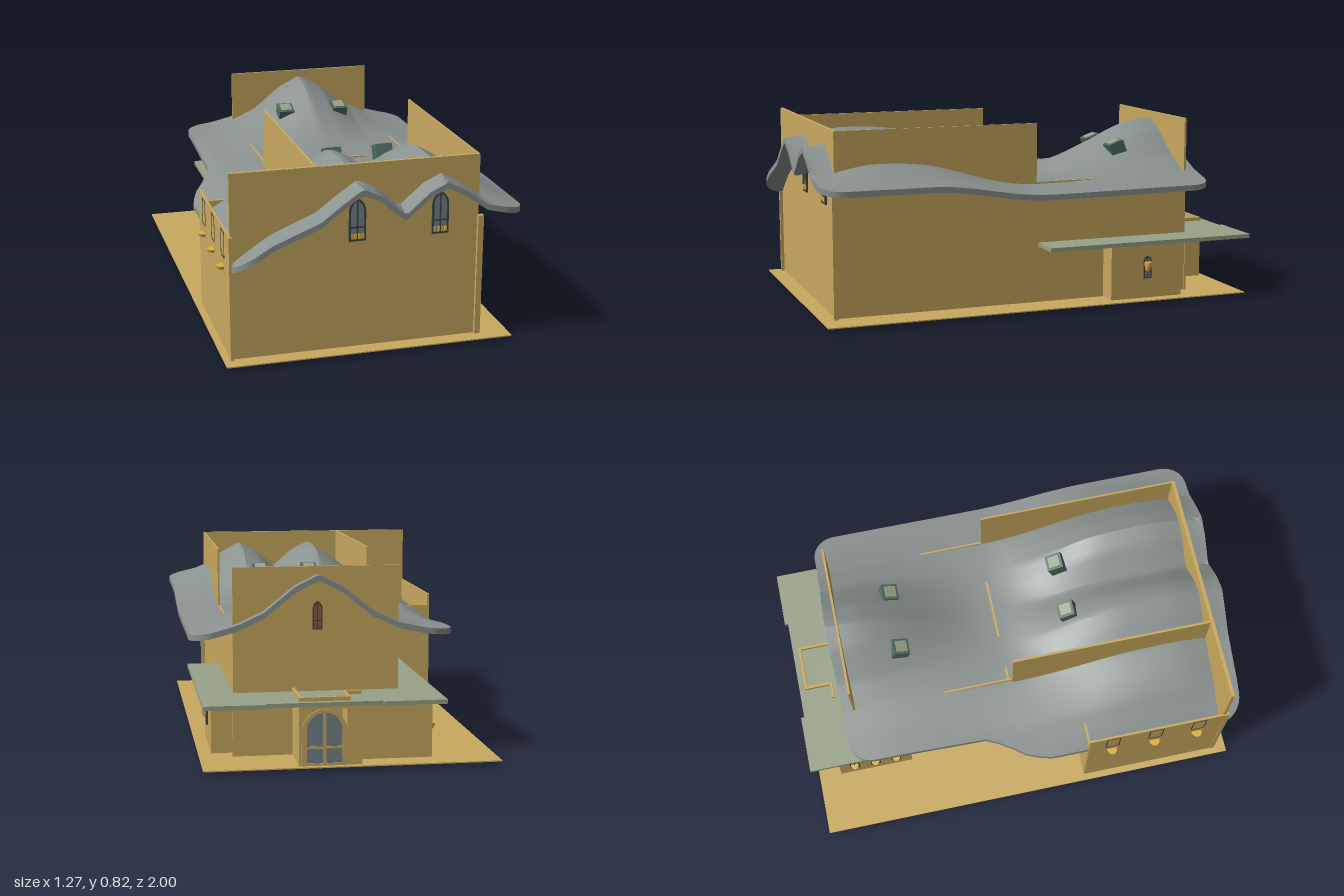
import * as THREE from 'three';
import { toCreasedNormals } from 'three/addons/utils/BufferGeometryUtils.js';

const mat = (color) => new THREE.MeshStandardMaterial({ color, side: THREE.DoubleSide });
const WALL = mat(0xc9a95f), ROOF = mat(0x8a9290), GREEN = mat(0x98a288);
const DARK = mat(0x3c4444), PANE = mat(0x4c6c60), GLASS = mat(0x75858a), LAMP = mat(0xe0b040);

// Piecewise-linear profile lookup and smooth step
function interp(p, x) {
  if (x <= p[0][0]) return p[0][1];
  for (let i = 1; i < p.length; i++) {
    if (x <= p[i][0]) {
      const t = (x - p[i - 1][0]) / (p[i][0] - p[i - 1][0]);
      return p[i - 1][1] + t * (p[i][1] - p[i - 1][1]);
    }
  }
  return p[p.length - 1][1];
}
const smooth = (a, b, v) => THREE.MathUtils.smoothstep(v, a, b);

// Roof profiles: twin gable in front, low saddle, single gable at the back
const FRONT = [[-0.61, 0.43], [-0.55, 0.475], [-0.45, 0.535], [-0.35, 0.575], [-0.25, 0.615], [-0.15, 0.69],
  [-0.075, 0.74], [0, 0.705], [0.105, 0.615], [0.21, 0.705], [0.285, 0.74], [0.36, 0.70], [0.46, 0.63], [0.64, 0.59]];
const MIDDLE = [[-0.61, 0.43], [-0.45, 0.515], [-0.25, 0.55], [0.45, 0.552], [0.64, 0.53]];
const BACK = [[-0.5, 0.54], [-0.35, 0.555], [-0.24, 0.58], [-0.13, 0.63], [0, 0.735], [0.1, 0.785],
  [0.2, 0.735], [0.33, 0.63], [0.44, 0.58], [0.55, 0.55], [0.64, 0.535]];

function roofY(x, z) {
  const mid = interp(MIDDLE, x);
  if (z < 0) return mid + (interp(BACK, x) - mid) * smooth(0.05, 0.7, -z);
  const inner = smooth(-0.6, -0.35, x) * (1 - smooth(0.45, 0.64, x));
  const lift = 0.04 * inner * smooth(0.2, 0.68, z) * (1 - smooth(0.72, 1, z));
  return mid + (interp(FRONT, x) - mid) * smooth(0, 0.52, z) + lift;
}

// Swept roof: closed cross-sections from back to front, rounded at the corners
function roofGeometry() {
  const z0 = -0.79, z1 = 0.995, rows = 48, n = 64, r = 0.1, thick = 0.025;
  const pos = [], idx = [], loop = 2 * (n + 1);
  const LEFT = [[-0.18, -0.48], [-0.1, -0.515], [0, -0.58], [0.1, -0.605]];
  for (let i = 0; i <= rows; i++) {
    const z = (z0 + z1) / 2 - (z1 - z0) / 2 * Math.cos(Math.PI * i / rows);
    const d = THREE.MathUtils.clamp(r - Math.min(z - z0, z1 - z), 0, r);
    const inset = r - Math.sqrt(r * r - d * d);
    const xl = interp(LEFT, z) + inset, xr = 0.635 - inset;
    for (let j = 0; j < loop; j++) {
      const top = j <= n, k = top ? j : loop - 1 - j;
      const x = xl + (xr - xl) * k / n;
      pos.push(x, roofY(x, z) - (top ? 0 : thick), z);
    }
  }
  for (let i = 0; i < rows; i++) {
    for (let j = 0; j < loop; j++) {
      const a = i * loop + j, b = i * loop + (j + 1) % loop;
      idx.push(a, a + loop, b, b, a + loop, b + loop);
    }
  }
  for (const i of [0, rows]) {
    for (let j = 0; j < n; j++) {
      const t = i * loop + j, b = i * loop + loop - 1 - j;
      if (i) idx.push(b, b - 1, t + 1, b, t + 1, t);
      else idx.push(b, t + 1, b - 1, b, t, t + 1);
    }
  }
  const g = new THREE.BufferGeometry();
  g.setAttribute('position', new THREE.Float32BufferAttribute(pos, 3));
  g.setIndex(idx);
  return toCreasedNormals(g, 0.5);
}

// Pointed or round arch outline, base at y = 0
function archPath(Type, w, h, pointed) {
  const s = new Type(), k = w / 2, spring = pointed ? h - w * 0.8 : h - k;
  s.moveTo(-k, 0).lineTo(k, 0).lineTo(k, spring);
  if (pointed) {
    s.quadraticCurveTo(k, h - w * 0.3, 0, h).quadraticCurveTo(-k, h - w * 0.3, -k, spring);
  } else s.absarc(0, spring, k, 0, Math.PI, false);
  s.lineTo(-k, 0);
  return s;
}

export function createModel() {
  const root = new THREE.Group();
  const add = (name, geo, material, parent = root) => {
    const m = new THREE.Mesh(geo, material);
    m.name = name;
    parent.add(m);
    return m;
  };
  // Box given by its limits
  const box = (name, material, x0, x1, y0, y1, z0, z1, parent = root) => {
    const m = add(name, new THREE.BoxGeometry(x1 - x0, y1 - y0, z1 - z0), material, parent);
    m.position.set((x0 + x1) / 2, (y0 + y1) / 2, (z0 + z1) / 2);
    return m;
  };

  // Ground plate, floors beneath it and entry step
  box('ground', WALL, -0.64, 0.6, 0.015, 0.02, -0.98, 0.97);
  for (const [x0, x1, z0, z1] of [[-0.25, 0.45, -0.73, 0.89], [-0.6, -0.25, 0.28, 0.89], [-0.36, -0.25, -0.86, -0.53],
    [-0.25, 0.2, -0.86, -0.73], [0.45, 0.54, -0.68, -0.34]]) {
    box('floor', GREEN, x0, x1, 0.012, 0.0155, z0, z1);
  }
  box('step', DARK, 0, 0.19, 0, 0.013, -0.3, -0.2);

  // Walls: x0, x1, top, z0, z1
  const walls = [
    ['frontWall', -0.605, 0.455, 0.82, 0.885, 0.9],
    ['rightWall', 0.447, 0.455, 0.82, -0.01, 0.89],
    ['innerWall', -0.253, -0.243, 0.82, -0.01, 0.89],
    ['rearRightWall', 0.447, 0.455, 0.56, -0.735, -0.01],
    ['rearLeftWall', -0.245, -0.237, 0.562, -0.735, -0.01],
    ['rearGableWall', -0.245, 0.455, 0.815, -0.742, -0.732],
    ['crossWall', -0.03, 0.25, 0.558, -0.032, -0.022],
    ['crossWallEnd', -0.245, -0.18, 0.558, -0.032, -0.022],
    ['wingSideWall', -0.61, -0.6, 0.555, 0.27, 0.9],
    ['wingBackWall', -0.605, -0.345, 0.5, 0.268, 0.278],
    ['wingBackWall', -0.345, -0.25, 0.5, 0.268, 0.276],
    ['cornerPost', -0.612, -0.597, 0.555, 0.895, 0.915],
    ['cornerPost', 0.45, 0.475, 0.555, 0.895, 0.915],
    ['annexFrontWall', 0.45, 0.545, 0.275, -0.345, -0.335],
    ['annexSideWall', 0.537, 0.545, 0.275, -0.675, -0.335],
    ['annexBackWall', 0.45, 0.545, 0.275, -0.68, -0.67],
    ['leftAnnexWall', -0.365, -0.357, 0.275, -0.87, -0.53],
    ['leftAnnexFront', -0.365, -0.24, 0.275, -0.537, -0.527],
    ['leftAnnexBack', -0.365, -0.05, 0.275, -0.874, -0.866],
    ['backWall', 0.2, 0.46, 0.275, -0.75, -0.742],
    ['porchSide', -0.005, 0.008, 0.305, -0.955, -0.83],
    ['porchSide', 0.196, 0.208, 0.305, -0.955, -0.73],
    ['porchStub', -0.07, 0, 0.305, -0.838, -0.828],
    ['porchReturn', -0.055, -0.045, 0.275, -0.95, -0.866],
    ['porchReturnFace', -0.055, 0, 0.275, -0.955, -0.945],
  ];
  for (const [name, x0, x1, top, z0, z1] of walls) box(name, WALL, x0, x1, 0.02, top, z0, z1);
  box('porchBeam', WALL, -0.005, 0.208, 0.255, 0.305, -0.957, -0.945);

  // Swept main roof
  add('mainRoof', roofGeometry(), ROOF);

  // Skylight dormers on the roof slopes
  for (const [x, z, y, dir] of [[-0.012, 0.295, 0.675, -1], [0.225, 0.295, 0.675, -1], [-0.03, -0.485, 0.665, 1], [0.24, -0.485, 0.665, 1]]) {
    const g = new THREE.Group();
    g.name = 'skylight';
    box('skylightBody', PANE, -0.037, 0.037, -0.05, 0.03, -0.037, 0.037, g);
    box('skylightPane', GREEN, -0.026, 0.026, 0.03, 0.034, -0.026, 0.026, g);
    g.position.set(x, y, z);
    g.rotation.x = dir * 0.35;
    root.add(g);
  }

  // Flat canopy around the rear, open where the main block stands
  const points = (list) => list.map(([x, z]) => new THREE.Vector2(x, z));
  const c = new THREE.Shape(points([[-0.4, -1], [-0.135, -1], [-0.135, -0.985], [0.345, -0.985], [0.345, -1], [0.6, -1],
    [0.6, -0.02], [-0.4, -0.02]]));
  c.holes.push(new THREE.Path(points([[-0.24, -0.73], [-0.24, -0.04], [0.45, -0.04], [0.45, -0.73]])));
  const canopy = add('canopy', new THREE.ExtrudeGeometry(c, { depth: 0.018, bevelEnabled: false }).rotateX(Math.PI / 2), GREEN);
  canopy.position.y = 0.289;

  // Arched opening: frame, glass, mullion and bar, facing +z before turning
  const arch = (name, w, h, pointed, frameMat, glassMat, x, y, z, turn) => {
    const g = new THREE.Group();
    g.name = name;
    const s = archPath(THREE.Shape, w, h, pointed);
    const hole = archPath(THREE.Path, w * 0.78, h * 0.9, pointed);
    s.holes.push(new THREE.Path(hole.getPoints(8).map((p) => p.add(new THREE.Vector2(0, h * 0.04)))));
    add('archFrame', new THREE.ExtrudeGeometry(s, { depth: 0.008, bevelEnabled: false, curveSegments: 8 }), frameMat, g);
    add('archGlass', new THREE.ShapeGeometry(archPath(THREE.Shape, w * 0.9, h * 0.95, pointed), 8), glassMat, g).position.z = 0.003;
    box('mullion', frameMat, -w * 0.04, w * 0.04, 0, h * 0.93, 0.001, 0.007, g);
    box('crossBar', frameMat, -w * 0.42, w * 0.42, h * 0.3, h * 0.34, 0.001, 0.007, g);
    g.position.set(x, y, z);
    g.rotation.y = turn;
    root.add(g);
    return g;
  };
  for (const x of [-0.073, 0.285]) {
    const g = arch('frontWindow', 0.072, 0.185, true, DARK, GLASS, x, 0.49, 0.9, 0);
    for (let i = -1.5; i < 2; i++) box('railPost', LAMP, i * 0.016 - 0.005, i * 0.016 + 0.005, 0.01, 0.03, 0.002, 0.01, g);
  }
  arch('rearGableWindow', 0.04, 0.12, true, DARK, mat(0x8a5a40), 0.1, 0.55, -0.742, Math.PI);
  arch('entranceDoor', 0.19, 0.235, false, WALL, GLASS, 0.102, 0.02, -0.95, Math.PI);
  arch('annexWindow', 0.036, 0.1, false, DARK, GLASS, 0.545, 0.11, -0.51, Math.PI / 2);

  // Wing windows: thin frames on the outer wall
  for (const z of [0.38, 0.58, 0.78]) {
    for (const [y0, y1, a, b] of [[0.43, 0.435, -0.03, 0.03], [0.54, 0.545, -0.03, 0.03], [0.43, 0.545, -0.032, -0.028], [0.43, 0.545, 0.028, 0.032]]) {
      box('wingWindowFrame', DARK, -0.6115, -0.609, y0, y1, z + a, z + b);
    }
  }

  // Half-bowl wall lamps
  const bowl = new THREE.SphereGeometry(1, 12, 6, 0, Math.PI * 2, Math.PI / 2, Math.PI / 2);
  const lid = new THREE.CircleGeometry(1, 12).rotateX(-Math.PI / 2);
  const lamp = (x, y, z, rx, ry, rz) => {
    const m = add('wallLamp', bowl, LAMP);
    m.position.set(x, y, z);
    m.scale.set(rx, ry, rz);
    add('lampLid', lid, LAMP, m);
  };
  for (const z of [0.38, 0.58, 0.78]) lamp(-0.61, 0.394, z, 0.03, 0.02, 0.024);
  lamp(0.547, 0.185, -0.51, 0.028, 0.05, 0.018);
  for (const z of [-0.8, -0.7, -0.6]) {
    arch('leftAnnexWindow', 0.045, 0.12, false, DARK, GLASS, -0.365, 0.1, z, -Math.PI / 2);
    lamp(-0.367, 0.15, z, 0.028, 0.03, 0.02);
  }
  for (const z of [-0.38, -0.2]) lamp(-0.245, 0.15, z, 0.028, 0.03, 0.02);

  return root;
}
